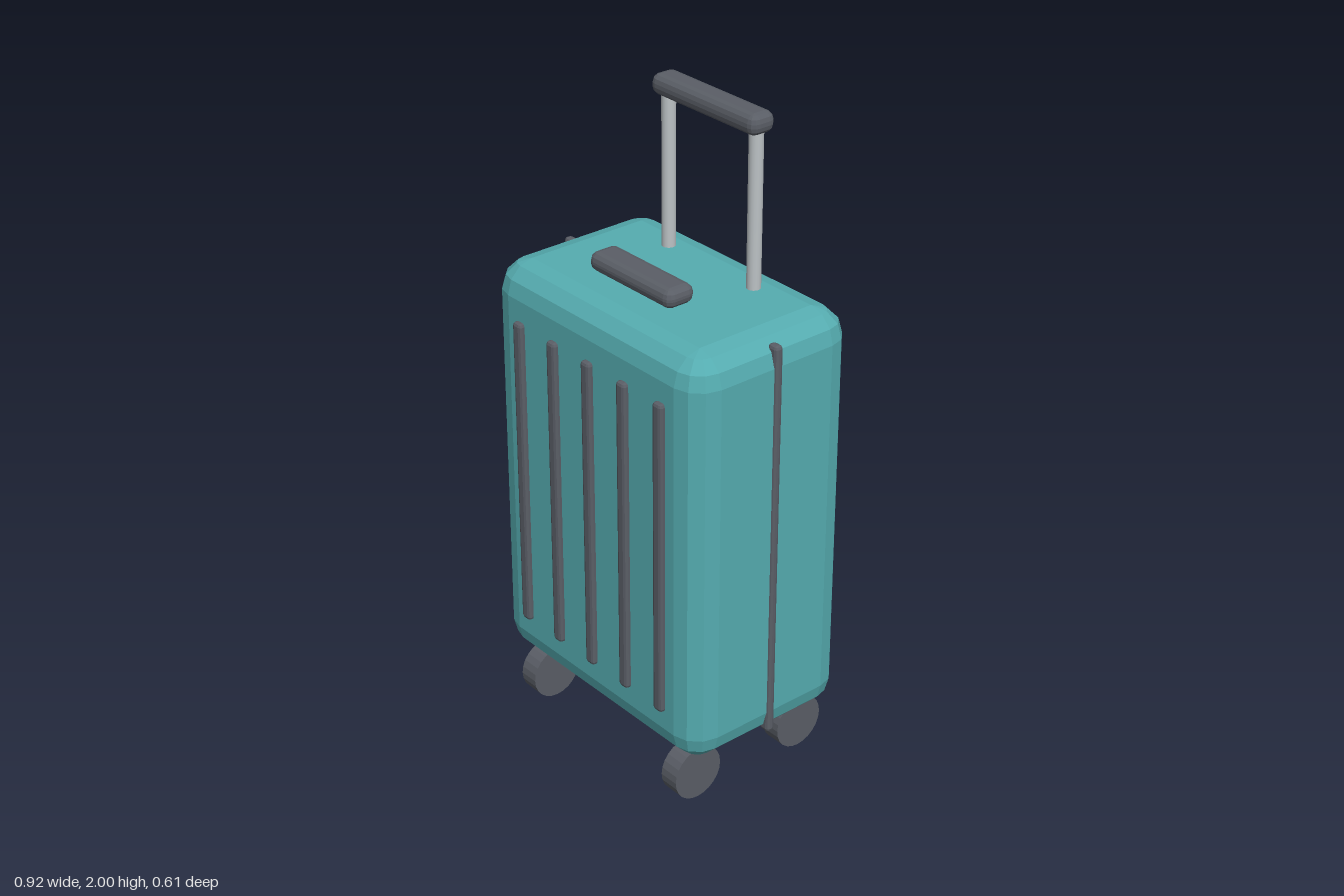
import * as THREE from 'three';
import { ConvexGeometry } from 'three/addons/geometries/ConvexGeometry.js';

const paint = (name, color, flatShading) => {
  const m = new THREE.MeshStandardMaterial({ color, flatShading });
  m.name = name;
  return m;
};

// Box with rounded edges, each quarter round made of a few flat bands
function roundedBox(w, h, d, r, bands) {
  const points = [];
  const step = Math.PI / 2 / bands;
  for (const sx of [-1, 1]) for (const sy of [-1, 1]) for (const sz of [-1, 1]) {
    for (let i = 0; i <= bands; i++) {
      const ring = r * Math.cos(i * step);
      for (let j = 0; j <= (i === bands ? 0 : bands); j++) {
        points.push(new THREE.Vector3(
          sx * (w / 2 - r + ring * Math.cos(j * step)),
          sy * (h / 2 - r + r * Math.sin(i * step)),
          sz * (d / 2 - r + ring * Math.sin(j * step))
        ));
      }
    }
  }
  return new ConvexGeometry(points);
}

export function createModel() {
  const model = new THREE.Group();
  model.name = 'suitcase';
  const teal = paint('teal shell', 0x55acb0, true);
  const dark = paint('dark grey trim', 0x5a5e66, true);
  const metal = paint('light metal', 0xbcc2c5, false);

  const add = (name, geometry, material, x, y, z) => {
    const mesh = new THREE.Mesh(geometry, material);
    mesh.name = name;
    mesh.position.set(x, y, z);
    model.add(mesh);
    return mesh;
  };

  // Shell
  add('shell', roundedBox(0.91, 1.306, 0.58, 0.09, 3), teal, 0, 0.823, 0);

  // Vertical ribs, front and back
  const rib = roundedBox(0.038, 1.0, 0.036, 0.01, 2);
  for (const z of [-0.289, 0.289]) {
    for (let i = -2; i <= 2; i++) add('rib', rib, dark, i * 0.155, 0.822, z);
  }

  // Seam strips down both sides
  const seam = roundedBox(0.038, 1.26, 0.028, 0.01, 2);
  for (const x of [-0.443, 0.443]) add('seamStrip', seam, dark, x, 0.822, 0);

  // Carry handle
  add('carryHandle', roundedBox(0.354, 0.058, 0.1, 0.025, 3), dark, 0, 1.52, 0.1);

  // Telescopic handle
  const pole = new THREE.CylinderGeometry(0.021, 0.021, 0.52, 16);
  for (const x of [-0.183, 0.183]) add('handlePole', pole, metal, x, 1.71, -0.152);
  add('handleGrip', roundedBox(0.436, 0.062, 0.086, 0.025, 3), dark, 0, 1.969, -0.152);

  // Wheels
  const wheel = new THREE.CylinderGeometry(0.085, 0.085, 0.064, 24).rotateZ(Math.PI / 2);
  for (const x of [-0.336, 0.336]) {
    for (const z of [-0.198, 0.198]) add('wheel', wheel, dark, x, 0.085, z);
  }
  return model;
}
